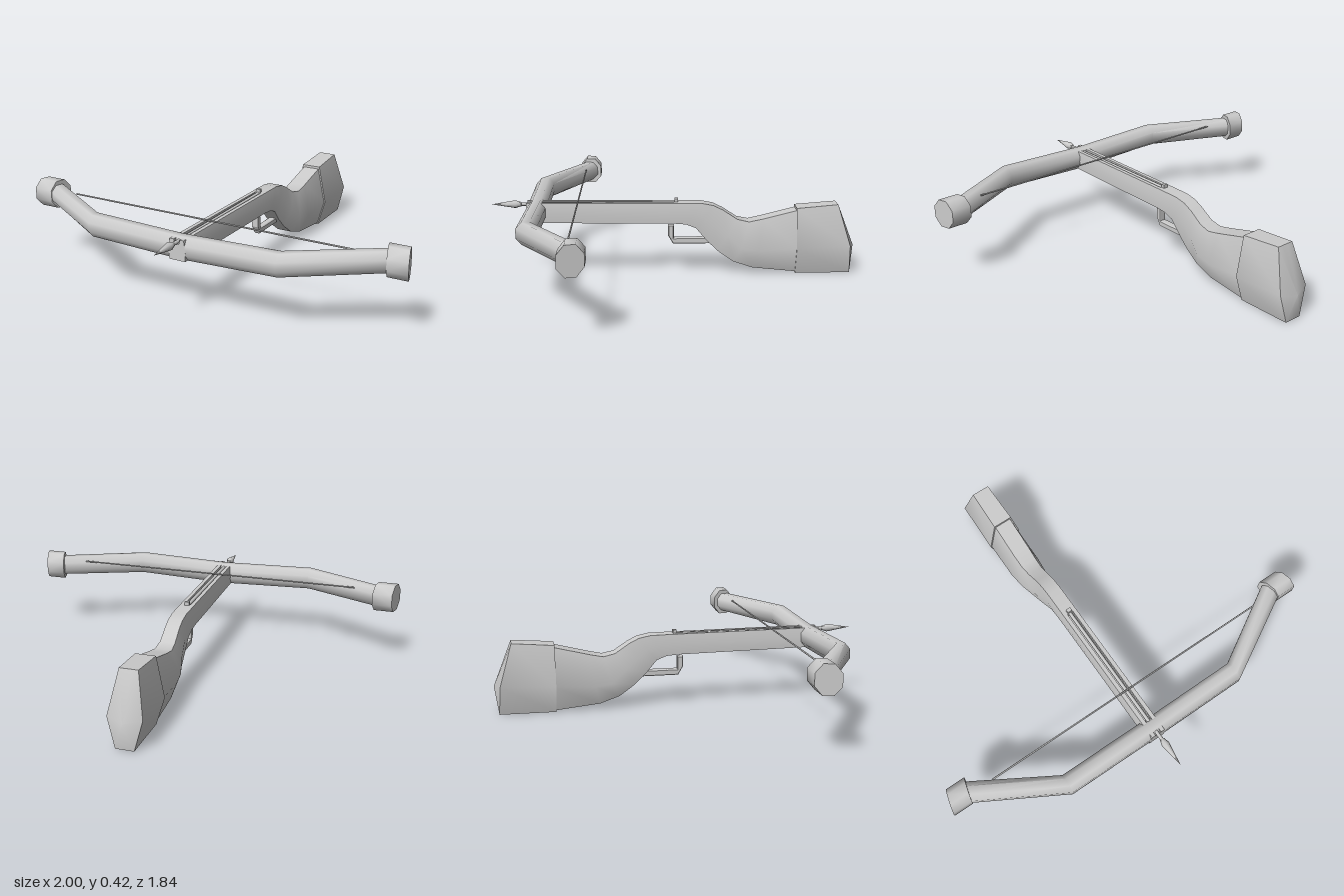
import * as THREE from 'three';
import { toCreasedNormals } from 'three/addons/utils/BufferGeometryUtils.js';

const material = new THREE.MeshStandardMaterial({ color: 0xcccccc });

// Skin closed rings of points, closing both ends to a centre point.
function loft(rings, startPoint, endPoint, crease) {
  const n = rings[0].length;
  const points = [...rings.flat(), startPoint, endPoint];
  let faces = [];
  const last = (rings.length - 1) * n;
  for (let j = 0; j < n; j++) {
    const k = (j + 1) % n;
    for (let i = 0; i < last; i += n) {
      faces.push([i + j, i + k, i + n + k], [i + j, i + n + k, i + n + j]);
    }
    faces.push([points.length - 2, k, j], [points.length - 1, last + j, last + k]);
  }
  // Turn the faces outward if the enclosed volume comes out negative.
  const v = points.map((p) => new THREE.Vector3(...p));
  const cross = new THREE.Vector3();
  const volume = faces.reduce((s, [a, b, c]) => s + v[a].dot(cross.crossVectors(v[b], v[c])), 0);
  if (volume < 0) faces = faces.map(([a, b, c]) => [a, c, b]);
  const geometry = new THREE.BufferGeometry();
  geometry.setAttribute('position', new THREE.Float32BufferAttribute(points.flat(), 3));
  geometry.setIndex(faces.flat());
  return toCreasedNormals(geometry, crease);
}

// Stock section: flat top and bottom, widest at mid height, optional bolt groove.
function stockRing([zTop, yTop, zBot, yBot, wTop, wMid, wBot, groove = 0, zMid = (zTop + zBot) / 2]) {
  const yMid = (yTop + yBot) / 2 - (wMid > 0.06 ? 0.03 : 0);
  const half = [
    [0.016, yTop - groove, zTop], [0.016, yTop, zTop], [wTop, yTop, zTop],
    [wMid, yMid, zMid], [wBot, yBot, zBot],
  ];
  return [...half, ...half.map(([x, y, z]) => [-x, y, z]).reverse()];
}

// Octagon in the plane spanned by the vertical and the line from inner to outer (x, z).
function octagon(inner, outer, y, halfHeight) {
  return Array.from({ length: 8 }, (_, i) => {
    const a = ((i + 0.5) * Math.PI) / 4;
    const t = 0.5 + 0.541 * Math.cos(a);
    return [
      inner[0] + (outer[0] - inner[0]) * t,
      y + halfHeight * 1.082 * Math.sin(a),
      inner[1] + (outer[1] - inner[1]) * t,
    ];
  });
}

const mirrorX = (ring) => ring.map(([x, y, z]) => [-x, y, z]);

export function createModel() {
  const model = new THREE.Group();
  const add = (name, geometry, x = 0, y = 0, z = 0) => {
    const mesh = new THREE.Mesh(geometry, material);
    mesh.name = name;
    mesh.position.set(x, y, z);
    model.add(mesh);
    return mesh;
  };

  // Fore-end with groove, flowing down into the grip and stock
  const stock = [
    [0.74, 0.38, 0.74, 0.28, 0.036, 0.044, 0.042, 0.022],
    [0, 0.374, 0, 0.27, 0.036, 0.044, 0.042, 0.022],
    [-0.001, 0.374, -0.001, 0.27, 0.036, 0.044, 0.042],
    [-0.14, 0.372, -0.06, 0.265, 0.036, 0.044, 0.042],
    [-0.2, 0.36, -0.11, 0.245, 0.036, 0.046, 0.04],
    [-0.25, 0.335, -0.16, 0.185, 0.036, 0.05, 0.038],
    [-0.32, 0.288, -0.22, 0.125, 0.038, 0.058, 0.038],
    [-0.38, 0.275, -0.3, 0.068, 0.042, 0.074, 0.04],
    [-0.45, 0.29, -0.4, 0.035, 0.044, 0.083, 0.043],
    [-0.63, 0.335, -0.63, 0.012, 0.044, 0.084, 0.045],
  ].map(stockRing);
  add('stock', loft(stock, [0, 0.32, 0.74], [0, 0.17, -0.63], 0.7));

  // Butt sleeve with a bulging end
  const butt = [
    [-0.62, 0.345, -0.62, 0.005, 0.05, 0.09, 0.048],
    [-0.83, 0.362, -0.9, 0.005, 0.045, 0.084, 0.045, 0, -0.892],
  ].map(stockRing);
  add('butt', loft(butt, [0, 0.17, -0.62], [0, 0.14, -0.922], 0.6));

  // Bow limb, bent forward in three straight runs
  const joint = octagon([0.485, 0.645], [0.49, 0.74], 0.345, 0.054);
  const tip = octagon([0.872, 0.42], [0.922, 0.5], 0.36, 0.05);
  const centre = octagon([0, 0.645], [0, 0.74], 0.33, 0.055);
  const limb = [mirrorX(tip), mirrorX(joint), centre, joint, tip];
  add('bowLimb', loft(limb, [-0.897, 0.36, 0.46], [0.897, 0.36, 0.46], 0.9));

  // Limb end caps
  const capInner = octagon([0.87, 0.4], [0.9, 0.515], 0.36, 0.07);
  const capOuter = octagon([0.97, 0.4], [1, 0.515], 0.36, 0.07);
  for (const [name, side] of [['leftLimbCap', 1], ['rightLimbCap', -1]]) {
    const rings = [capInner, capOuter].map((r) => (side > 0 ? r : mirrorX(r)));
    add(name, loft(rings, [side * 0.885, 0.36, 0.457], [side * 0.985, 0.36, 0.457], 0.9));
  }

  // Bowstring
  add('bowstring', new THREE.CylinderGeometry(0.004, 0.004, 1.53, 6), 0, 0.386, 0.482).rotation.z = Math.PI / 2;

  // Bolt: shaft, pointed head and nock
  add('boltShaft', new THREE.CylinderGeometry(0.009, 0.009, 0.8, 8), 0, 0.368, 0.39).rotation.x = Math.PI / 2;
  const head = [[0, 0], [0.011, 0], [0.02, 0.03], [0, 0.15]].map(([r, y]) => new THREE.Vector2(r, y));
  const headGeometry = toCreasedNormals(new THREE.LatheGeometry(head, 8), 0.9);
  add('boltHead', headGeometry, 0, 0.368, 0.768).rotation.x = Math.PI / 2;
  add('boltNock', new THREE.BoxGeometry(0.024, 0.035, 0.018), 0, 0.374, -0.012);

  // Trigger lever, an L drawn in z and y
  const lever = new THREE.Shape(
    [[0.03, 0.255], [0, 0.255], [0, 0.188], [-0.18, 0.188], [-0.18, 0.157], [0.005, 0.157], [0.03, 0.2]]
      .map(([z, y]) => new THREE.Vector2(-z, y)),
  );
  const leverGeometry = new THREE.ExtrudeGeometry(lever, {
    depth: 0.024, bevelEnabled: true, bevelSize: 0.004, bevelThickness: 0.006, bevelOffset: -0.004, bevelSegments: 1,
  });
  leverGeometry.translate(0, 0, -0.012).rotateY(Math.PI / 2);
  add('trigger', leverGeometry);

  return model;
}
